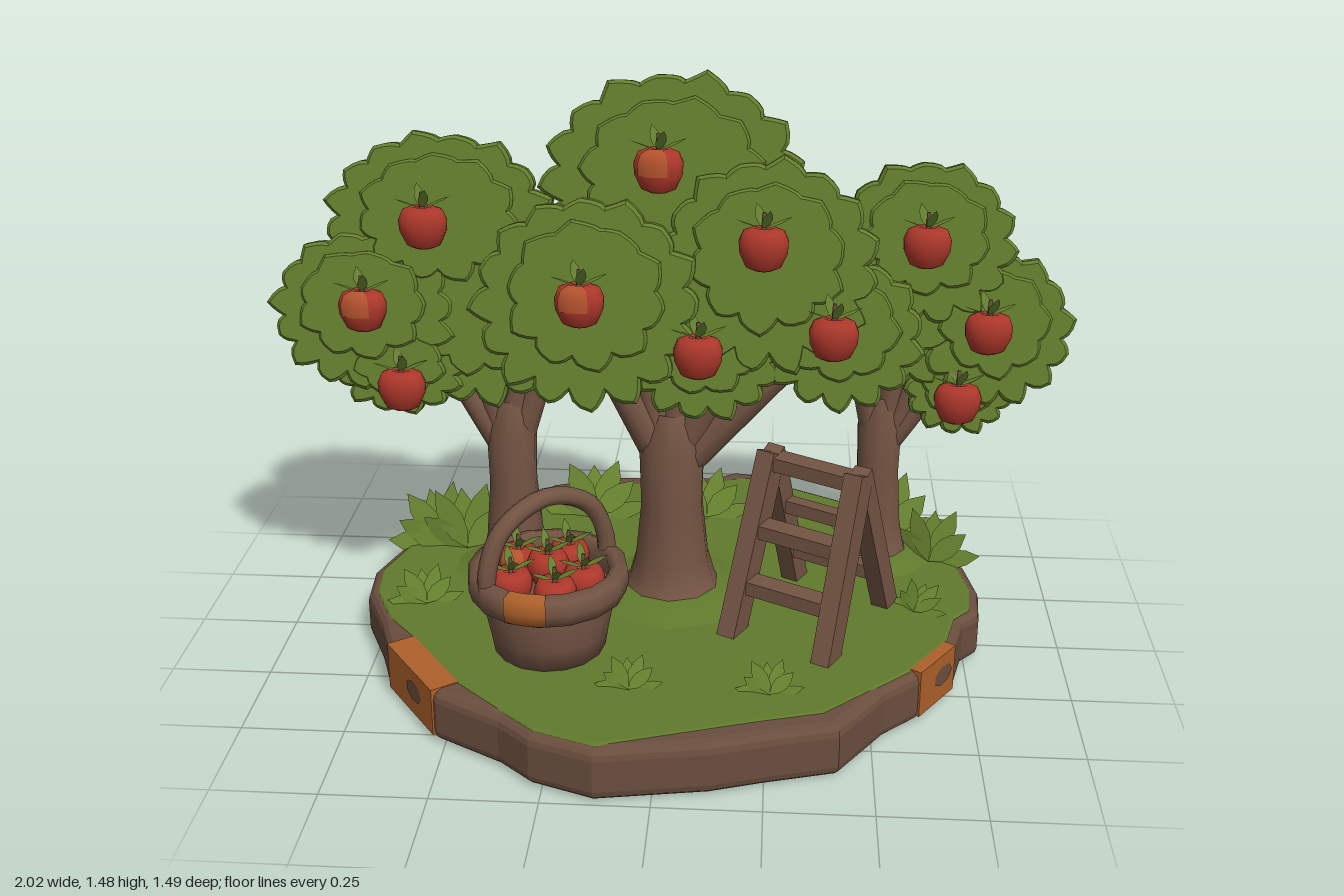
import * as THREE from 'three';
import { mergeGeometries } from 'three/addons/utils/BufferGeometryUtils.js';

const mat = (name, color, side = THREE.FrontSide) => {
  const m = new THREE.MeshStandardMaterial({ color, side });
  m.name = name;
  return m;
};

export function createModel() {
  const model = new THREE.Group();
  model.name = 'orchard';
  const bark = mat('bark', 0x735443), soil = mat('soil', 0x6a4e3e);
  const leaf = mat('leaf', 0x637d2d, THREE.DoubleSide), grass = mat('grass', 0x607a2c);
  const red = mat('appleRed', 0xae382b), orange = mat('orangeWood', 0xac602a), blush = mat('appleBlush', 0xb4532e);
  const V = (x, y, z) => new THREE.Vector3(x, y, z);

  const add = (name, geo, material, parent = model, x = 0, y = 0, z = 0) => {
    const m = new THREE.Mesh(geo, material);
    m.name = name;
    m.position.set(x, y, z);
    parent.add(m);
    return m;
  };
  const group = (name, x = 0, y = 0, z = 0) => {
    const g = new THREE.Group();
    g.name = name;
    g.position.set(x, y, z);
    model.add(g);
    return g;
  };
  const lathe = (pts, seg, start = 0, sweep = Math.PI * 2) =>
    new THREE.LatheGeometry(pts.map(p => new THREE.Vector2(...p)), seg, start, sweep);
  // tapered round limb
  const limb = (name, a, b, r1, r2, parent) => {
    const d = b.clone().sub(a);
    const m = add(name, new THREE.CylinderGeometry(r2, r1, d.length(), 9), bark, parent);
    m.position.copy(a).add(b).multiplyScalar(0.5);
    m.quaternion.setFromUnitVectors(V(0, 1, 0), d.normalize());
  };

  // base slab, outline as [x, z]
  const rim = [[0.14, -0.74], [0.26, -0.715], [0.32, -0.645], [0.54, -0.52], [0.68, -0.365], [0.71, -0.25], [0.77, -0.19],
    [0.795, -0.05], [0.785, 0.06], [0.74, 0.11], [0.71, 0.23], [0.61, 0.375], [0.53, 0.45], [0.42, 0.61], [0.25, 0.66],
    [0.13, 0.7], [-0.13, 0.745], [-0.28, 0.69], [-0.36, 0.62], [-0.52, 0.53], [-0.68, 0.31], [-0.72, 0.2], [-0.785, 0.06],
    [-0.795, -0.06], [-0.75, -0.2], [-0.63, -0.38], [-0.49, -0.5], [-0.39, -0.62], [-0.24, -0.68], [0.08, -0.7]];
  const slab = (pts, depth, bevel) => new THREE.ExtrudeGeometry(
    new THREE.Shape(pts.map(([x, z]) => new THREE.Vector2(x, -z))),
    { depth, bevelEnabled: true, bevelThickness: bevel, bevelSize: bevel, bevelOffset: -bevel, bevelSegments: 3 }
  ).rotateX(-Math.PI / 2);
  add('baseSlab', slab(rim, 0.08, 0.028), soil, model, 0, 0.035, 0);
  const lawn = rim.map(([x, z], i) => {
    const s = [0, 13, 14, 15, 19, 20, 27, 28, 29].includes(i) ? 0.915 : 0.97;
    return [x * s, z * s];
  });
  add('lawn', slab(lawn, 0.02, 0.008), grass, model, 0, 0.118, 0);

  // orange rim blocks with a worn spot
  [[-0.68, 0.31, -0.52, 0.53], [0.61, 0.375, 0.71, 0.23], [0.68, -0.365, 0.54, -0.52], [-0.63, -0.38, -0.75, -0.2]]
    .forEach(([ax, az, bx, bz]) => {
      const g = group('rimBlock', (ax + bx) / 2, 0.084, (az + bz) / 2);
      g.rotation.y = Math.atan2(az - bz, bx - ax);
      add('orangeBlock', new THREE.BoxGeometry(Math.hypot(bx - ax, bz - az) * 0.92, 0.122, 0.1), orange, g, 0, 0, -0.045);
      const spot = add('wornSpot', new THREE.CircleGeometry(0.03, 7), soil, g, 0.025, 0.005, 0.0065);
      spot.scale.set(1.4, 0.9, 1);
    });

  // pointed leaf blade, rooted at the origin, growing along +y
  const blade = (len, w) => {
    const s = new THREE.Shape();
    s.moveTo(0, 0);
    s.quadraticCurveTo(w, len * 0.45, 0, len);
    s.quadraticCurveTo(-w, len * 0.45, 0, 0);
    return new THREE.ShapeGeometry(s, 4);
  };

  // grass tufts: [x, z, size, lean, turn]
  const fan = mergeGeometries([-1.35, -0.95, -0.5, -0.1, 0.3, 0.75, 1.25].map((a, i) =>
    blade(1 - Math.abs(a) * 0.12 - (i % 2) * 0.12, 0.36).rotateY(Math.sin(i * 5) * 0.4)
      .rotateZ(-a).translate(0, 0, (i % 3) * 0.06)));
  [[-0.24, -0.4, 0.19, -0.85, 0], [0.07, -0.41, 0.17, -0.85, 0.1], [0.57, -0.34, 0.2, -0.75, 0],
    [-0.57, -0.2, 0.19, -0.45, 0.1], [-0.62, 0.12, 0.12, -0.9, 0.2], [-0.07, 0.49, 0.1, -0.95, 0],
    [0.26, 0.49, 0.1, -0.95, 0], [0.62, 0.08, 0.1, -0.9, -0.6], [-0.64, -0.22, 0.18, -0.55, 0.4],
    [0.68, -0.2, 0.16, -0.5, -0.4]].forEach(([x, z, s, lean, turn]) => {
    const t = add('grassTuft', fan, leaf, model, x, 0.14, z);
    t.rotation.set(lean, turn, 0, 'YXZ');
    t.scale.setScalar(s);
  });

  // apples with stem and leaves; ripe ones carry a paler patch in front
  const appleProfile = [[0, -0.045], [0.022, -0.054], [0.042, -0.045], [0.058, -0.01], [0.06, 0.018],
    [0.05, 0.042], [0.026, 0.052], [0.008, 0.042], [0, 0.038]];
  const appleBody = lathe(appleProfile, 14);
  const applePatch = lathe(appleProfile.slice(3, 7).map(([r, y]) => [r + 0.002, y + 0.001]), 5, -0.9, 1.3);
  const crown = mergeGeometries([0.3, 1.9, 3.5, 5].map((a, i) =>
    blade(0.075, 0.026).rotateX(i % 2 ? 1.2 : 0.75).translate(0, 0.046, 0).rotateY(a)));
  const stem = new THREE.CylinderGeometry(0.005, 0.007, 0.05, 5).translate(0, 0.062, 0);
  const apple = (x, y, z, sx, sz, patched) => {
    const g = group('apple', x, y, z);
    g.scale.set(sx, sx, sz);
    add('appleBody', appleBody, red, g);
    add('appleLeaves', crown, leaf, g);
    add('appleStem', stem, bark, g);
    if (patched) add('applePatch', applePatch, blush, g);
  };

  // flat leafy crown plate with a serrated edge, leaves longest at the bottom
  const serrated = (rx, ry, teeth, phase) => {
    const s = new THREE.Shape();
    const at = (k, r) => {
      const a = (k / teeth) * Math.PI * 2 + phase;
      return [Math.cos(a) * rx * r, Math.sin(a) * ry * r];
    };
    const valley = k => 0.87 + 0.05 * Math.sin((k / teeth) * Math.PI * 2 + phase);
    s.moveTo(...at(0, valley(0)));
    for (let i = 0; i < teeth; i++) {
      const tip = 1 + 0.035 * Math.sin(i * 2.7 + phase);
      s.quadraticCurveTo(...at(i + 0.12, 0.97), ...at(i + 0.6, tip));
      s.quadraticCurveTo(...at(i + 0.85, 0.95), ...at(i + 1, valley(i + 1)));
    }
    return s;
  };
  const plate = (x, y, z, rx, ry, back, i) => {
    const g = group('leafPlate', x, y, z);
    g.rotation.set(-0.2, back ? Math.PI : 0, 0, 'YXZ');
    const teeth = Math.round(9 + rx * 26);
    [[1, 0.034, -0.024, 0.008], [0.7, 0.01, 0.012, 0.006]].forEach(([k, depth, dz, bevel], n) => {
      const geo = new THREE.ExtrudeGeometry(serrated(rx * k, ry * k, teeth - n * 6, i + n), { depth, curveSegments: 3,
        bevelEnabled: true, bevelThickness: bevel, bevelSize: bevel, bevelOffset: -bevel, bevelSegments: 1 });
      add('leafLayer', geo, leaf, g, 0, n * ry * 0.08, dz);
    });
  };
  [[0, 1.22, -0.025, 0.32, 0.27], [-0.2, 0.95, 0.08, 0.28, 0.26], [0.23, 1.04, 0.035, 0.27, 0.26],
    [0.08, 0.83, 0.065, 0.2, 0.17], [0.41, 0.88, 0.055, 0.2, 0.19], [0.03, 0.82, -0.08, 0.28, 0.19, true],
    [-0.58, 1.09, -0.09, 0.29, 0.23], [-0.77, 0.88, -0.04, 0.235, 0.2], [-0.48, 0.85, -0.05, 0.24, 0.21],
    [-0.68, 0.74, -0.02, 0.17, 0.12], [-0.65, 0.79, -0.16, 0.28, 0.17, true],
    [0.62, 1.03, -0.2, 0.23, 0.21], [0.8, 0.82, -0.17, 0.2, 0.2], [0.56, 0.83, -0.18, 0.2, 0.17],
    [0.72, 0.66, -0.16, 0.14, 0.12], [0.71, 0.72, -0.26, 0.21, 0.17, true]
  ].forEach(([x, y, z, rx, ry, back = false], i) => plate(x, y, z, rx, ry, back, i));

  [[-0.03, 1.27, 0.025, true], [0.22, 1.1, 0.08], [-0.21, 0.97, 0.135, true], [0.07, 0.84, 0.12], [0.39, 0.89, 0.11],
    [-0.61, 1.1, -0.04], [-0.76, 0.9, 0.01, true], [-0.67, 0.7, 0.03], [0.62, 1.04, -0.15], [0.78, 0.83, -0.115],
    [0.715, 0.64, -0.115], [0.74, 0.61, -0.31], [-0.66, 1.07, -0.14], [-0.74, 0.7, -0.21]
  ].forEach(([x, y, z, patched]) => apple(x, y, z, 1, 0.7, patched));

  // trees: trunk x, z, radius, fork height, branch ends [dx, y, dz]
  [[0, 0, 0.08, 0.56, [[-0.17, 0.8, 0.03], [0.28, 0.78, 0.03], [0.03, 0.85, 0], [-0.08, 0.82, 0], [0.13, 0.78, 0.03]]],
    [-0.42, -0.1, 0.062, 0.54, [[-0.19, 0.78, 0], [0.03, 0.83, 0.01], [0.12, 0.8, 0.01], [-0.1, 0.83, 0]]],
    [0.53, -0.23, 0.056, 0.52, [[-0.08, 0.76, 0.03], [0.19, 0.72, 0.02], [0.05, 0.82, 0.02], [0.14, 0.78, 0.02]]]
  ].forEach(([x, z, r, fork, ends]) => {
    const t = group('tree', x, 0, z);
    add('trunk', lathe([[r * 2, 0.13], [r * 1.45, 0.18], [r * 1.2, 0.25], [r, 0.4], [r * 1.05, fork], [r * 0.6, fork + 0.09]], 10), bark, t);
    add('grassMound', lathe([[r * 3, 0.14], [r * 2.1, 0.155], [r * 1.5, 0.175], [0, 0.18]], 10), grass, t);
    ends.forEach(([dx, y, dz]) => limb('branch', V(dx * 0.12, fork - 0.04, 0), V(dx, y, dz), r * 0.62, r * 0.38, t));
  });

  // basket: tub, thick rim with an orange stave, arched handle and fruit
  const basket = group('basket', -0.28, 0, 0.29);
  add('basketTub', lathe([[0, 0.14], [0.135, 0.14], [0.145, 0.2], [0.165, 0.3], [0.145, 0.31], [0.13, 0.29], [0, 0.29]], 16), bark, basket);
  const rimProfile = [[0.165, 0.29], [0.188, 0.295], [0.196, 0.325], [0.192, 0.36], [0.165, 0.368], [0.148, 0.35],
    [0.148, 0.3], [0.165, 0.29]];
  add('basketRim', lathe(rimProfile, 16), bark, basket);
  add('rimPatch', lathe(rimProfile.slice(0, 5).map(([r, y]) => [r + 0.004, y + 0.004]), 4, -0.42, 0.52), orange, basket);
  const arch = new THREE.CatmullRomCurve3([[-0.17, 0.31], [-0.165, 0.4], [-0.12, 0.49], [0, 0.54], [0.12, 0.49],
    [0.165, 0.4], [0.17, 0.31]].map(([x, y]) => V(x, y, 0)));
  add('basketHandle', new THREE.TubeGeometry(arch, 24, 0.023, 8), bark, basket).rotation.y = 0.69;
  [[0, 0], [0.09, 0.03], [0.03, 0.1], [-0.08, 0.06], [-0.08, -0.06], [0.04, -0.09]].forEach(([x, z], i) =>
    apple(-0.28 + x, 0.335 + (i ? 0 : 0.02), 0.29 + z, 0.85, 0.85, i === 4));

  // A-frame ladder of square bars, all turned to the frame's direction
  const ladder = group('ladder');
  const across = V(0.23, 0, 0.125).normalize();
  const bar = (name, a, b, width, depth) => {
    const d = b.clone().sub(a), up = d.clone().normalize();
    const ref = Math.abs(up.dot(across)) > 0.9 ? V(0, 1, 0) : across;
    const n = ref.clone().cross(up).normalize(), x = up.clone().cross(n);
    const m = add(name, new THREE.BoxGeometry(width, d.length(), depth), bark, ladder);
    m.position.copy(a).add(b).multiplyScalar(0.5);
    m.quaternion.setFromRotationMatrix(new THREE.Matrix4().makeBasis(x, up, n));
  };
  const side = [
    { front: V(0.16, 0.13, 0.21), top: V(0.25, 0.57, 0.06), back: V(0.32, 0.13, -0.1) },
    { front: V(0.39, 0.13, 0.33), top: V(0.46, 0.57, 0.18), back: V(0.55, 0.13, 0.03) }];
  side.forEach(s => {
    bar('frontLeg', s.front, s.top, 0.048, 0.066);
    bar('backLeg', s.back, s.top, 0.045, 0.055);
  });
  const rung = (leg, t, h, w) => bar('rung', side[0][leg].clone().lerp(side[0].top, t),
    side[1][leg].clone().lerp(side[1].top, t), h, w);
  [0.3, 0.6, 0.96].forEach(t => rung('front', t, 0.036, 0.055));
  [0.27, 0.62].forEach(t => rung('back', t, 0.034, 0.036));

  return model;
}
